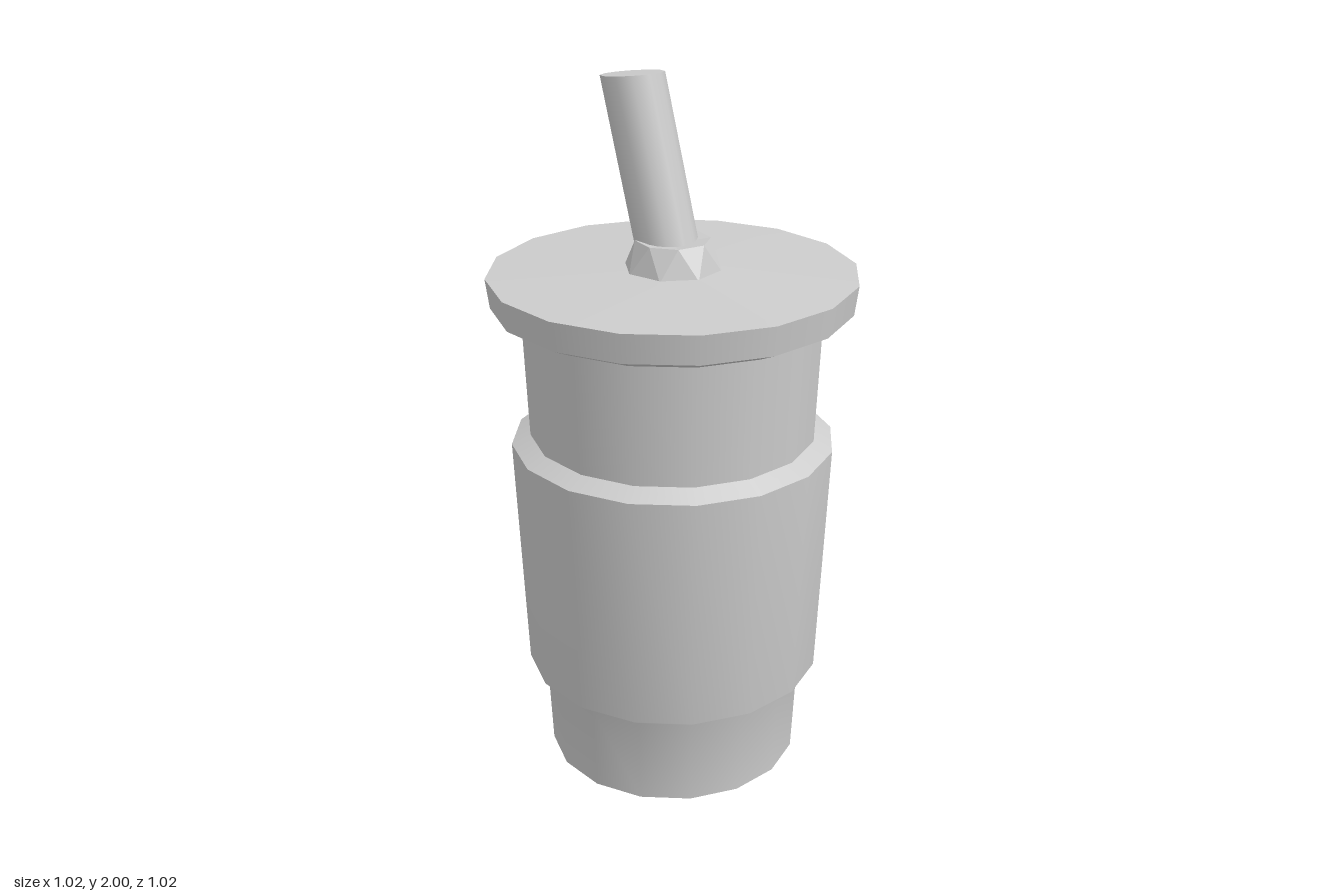
import * as THREE from 'three';

const SIDES = 16;

export function createModel() {
  const model = new THREE.Group();
  const grey = new THREE.MeshStandardMaterial({ color: 0xcccccc });
  grey.name = 'light grey';

  const add = (name, geometry, parent = model) => {
    const mesh = new THREE.Mesh(geometry, grey);
    mesh.name = name;
    parent.add(mesh);
    return mesh;
  };

  // One turned band; profile of [radius, y], smooth within the band, sharp between bands
  const band = (name, profile) =>
    add(name, new THREE.LatheGeometry(profile.map(([r, y]) => new THREE.Vector2(r, y)), SIDES));

  // Cup and sleeve
  band('cupBase', [[0, 0], [0.367, 0]]);
  band('sleevedBody', [[0.367, 0], [0.379, 0.26], [0.428, 0.295], [0.457, 0.985]]);
  band('sleeveTopEdge', [[0.457, 0.985], [0.404, 1.012]]);
  band('cupNeck', [[0.404, 1.012], [0.418, 1.37]]);

  // Lid
  band('lidUnderside', [[0.41, 1.36], [0.44, 1.362], [0.5, 1.39]]);
  band('lidRim', [[0.5, 1.39], [0.511, 1.473]]);
  band('lidTop', [[0.511, 1.473], [0, 1.492]]);

  // Faceted collar: base octagon joined to a top octagon turned by half a step, low at the back
  const ring = (r, turn, height) => Array.from({ length: 8 }, (_, i) => {
    const a = (i + turn) * Math.PI / 4;
    const z = r * Math.cos(a);
    return [r * Math.sin(a), height(z), z];
  });
  const low = ring(0.137, 0, () => 1.482);
  const high = ring(0.104, 0.5, (z) => (z < -0.06 ? 1.5 : 1.565));
  const corners = [];
  for (let i = 0; i < 8; i++) {
    const j = (i + 1) % 8;
    corners.push(low[i], low[j], high[i], low[j], high[j], high[i]);
    corners.push(high[i], high[j], [0, 1.55, 0]);
  }
  const collar = new THREE.BufferGeometry();
  collar.setAttribute('position', new THREE.Float32BufferAttribute(corners.flat(), 3));
  collar.computeVertexNormals();
  add('strawCollar', collar);

  // Leaning straw, sheared so its end stays nearly level
  const straw = new THREE.CylinderGeometry(0.087, 0.087, 0.52, 12);
  straw.translate(0, -0.26, 0);
  straw.applyMatrix4(new THREE.Matrix4().set(
    1, -0.09 * -1 * -1, 0, 0,
    0, 1, 0.12, 0,
    0, -0.25, 1, 0,
    0, 0, 0, 1
  ).transpose().transpose());
  // The shear leans the top towards -x and -z; the pivot is the top centre
  straw.translate(-0.042, 1.99, -0.142);
  add('straw', straw);

  return model;
}
